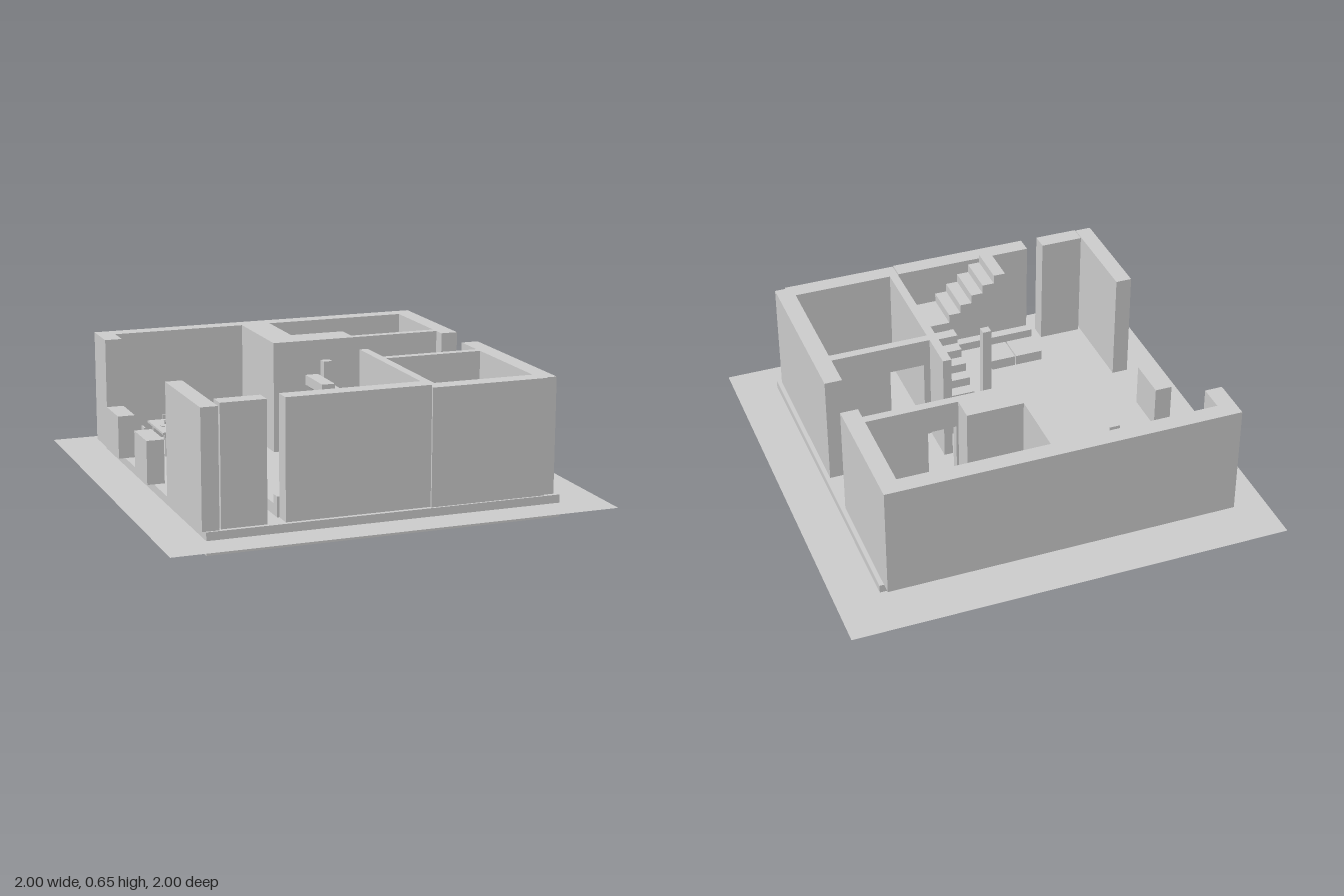
import * as THREE from 'three';

const grey = new THREE.MeshStandardMaterial({ color: 0xcccccc, flatShading: true, side: THREE.DoubleSide });

function add(parent, name, geometry) {
  const mesh = new THREE.Mesh(geometry, grey);
  mesh.name = name;
  parent.add(mesh);
  return mesh;
}

// Box given by its limits on each axis
function box(parent, name, x0, x1, y0, y1, z0, z1) {
  const mesh = add(parent, name, new THREE.BoxGeometry(x1 - x0, y1 - y0, z1 - z0));
  mesh.position.set((x0 + x1) / 2, (y0 + y1) / 2, (z0 + z1) / 2);
  return mesh;
}

const FLOOR = 0.1, TOP = 0.62;

const wall = (parent, name, x0, x1, z0, z1, top = TOP) => box(parent, name, x0, x1, FLOOR, top, z0, z1);

// Wall along x with a doorway
function doorWall(parent, name, x0, x1, z0, z1, d0, d1, head = 0.49) {
  const s = new THREE.Shape();
  [[x0, FLOOR], [d0, FLOOR], [d0, head], [d1, head], [d1, FLOOR], [x1, FLOOR], [x1, TOP], [x0, TOP]]
    .forEach(([x, y], i) => (i ? s.lineTo(x, y) : s.moveTo(x, y)));
  add(parent, name, new THREE.ExtrudeGeometry(s, { depth: z1 - z0, bevelEnabled: false })).position.z = z0;
}

// Stepped flight with a sloping underside, climbing along its local x
function flight(parent, name, steps, run, rise, width) {
  const s = new THREE.Shape();
  s.moveTo(0, 0);
  for (let i = 0; i < steps; i++) {
    s.lineTo(i * run, (i + 1) * rise);
    s.lineTo((i + 1) * run, (i + 1) * rise);
  }
  s.lineTo(steps * run, (steps - 1) * rise);
  s.lineTo(run, 0);
  return add(parent, name, new THREE.ExtrudeGeometry(s, { depth: width, bevelEnabled: false }));
}

// Small chair whose back stands at local +z
function chair(parent, x, z, turn) {
  const c = new THREE.Group();
  c.name = 'chair';
  box(c, 'chairSeat', -0.025, 0.025, 0.05, 0.06, -0.03, 0.025);
  box(c, 'chairBack', -0.025, 0.025, 0.06, 0.125, 0.017, 0.025);
  for (const sx of [-1, 1]) for (const sz of [-1, 1])
    box(c, 'chairLeg', sx * 0.02 - 0.004, sx * 0.02 + 0.004, 0, 0.05, sz * 0.02 - 0.004, sz * 0.02 + 0.004);
  c.position.set(x, FLOOR, z);
  c.rotation.y = turn;
  parent.add(c);
}

export function createModel() {
  const model = new THREE.Group();
  model.name = 'house';

  // Ground sheet and floor slab
  const ground = add(model, 'groundSheet', new THREE.PlaneGeometry(2, 2));
  ground.rotation.x = -Math.PI / 2;
  ground.position.y = 0.063;
  box(model, 'floorSlab', -0.8, 0.8, 0, FLOOR, -0.76, 0.84);

  // Outer walls
  const walls = new THREE.Group();
  walls.name = 'walls';
  model.add(walls);
  wall(walls, 'backWall', -0.83, 0.78, -0.81, -0.73);
  wall(walls, 'leftWallBack', 0.7, 0.78, -0.81, -0.21);
  wall(walls, 'leftWallFront', 0.7, 0.78, 0.02, 0.82);
  wall(walls, 'frontWall', -0.45, 0.2, 0.74, 0.82, 0.63);
  wall(walls, 'frontWallBedroom', 0.2, 0.73, 0.75, 0.83);
  wall(walls, 'entryWall', -0.73, -0.53, 0.74, 0.82, 0.63);
  wall(walls, 'rightWallFront', -0.815, -0.74, 0.33, 0.83);
  wall(walls, 'rightWallBack', -0.83, -0.75, -0.81, -0.61);
  for (const z of [-0.61, -0.13]) wall(walls, 'lowWall', -0.83, -0.75, z, z + 0.2, 0.3);

  // Inner walls
  wall(walls, 'thickInnerWall', -0.12, 0.02, -0.73, -0.27);
  wall(walls, 'innerWallReturn', 0.02, 0.28, -0.42, -0.27);
  doorWall(walls, 'backRoomWall', 0.28, 0.7, -0.31, -0.27, 0.29, 0.42);
  wall(walls, 'stairSideWall', 0.2, 0.24, 0, 0.8);
  doorWall(walls, 'frontRoomWall', 0.24, 0.7, 0.18, 0.22, 0.27, 0.43);

  // Staircase: lower flight, landing, upper flight and post
  const stairs = new THREE.Group();
  stairs.name = 'staircase';
  model.add(stairs);
  const rise = 0.0423;
  const lower = flight(stairs, 'lowerFlight', 7, 0.0575, rise, 0.2);
  lower.rotation.y = -Math.PI / 2;
  lower.position.set(0.2, FLOOR, 0.14);
  const landing = FLOOR + 8 * rise;
  box(stairs, 'landing', 0.02, 0.2, landing - rise, landing, 0.54, 0.74);
  const upper = flight(stairs, 'upperFlight', 5, 0.056, rise, 0.2);
  upper.rotation.y = Math.PI;
  upper.position.set(0.02, landing, 0.74);
  wall(stairs, 'stairPost', -0.045, -0.005, 0.15, 0.19);

  // Corner sofa
  const sofa = new THREE.Group();
  sofa.name = 'cornerSofa';
  model.add(sofa);
  box(sofa, 'longSeat', -0.18, -0.04, FLOOR, 0.15, 0.22, 0.74);
  box(sofa, 'longBack', -0.045, -0.01, FLOOR, 0.19, 0.19, 0.74);
  box(sofa, 'sofaArm', -0.18, -0.04, FLOOR, 0.17, 0.185, 0.22);
  for (const [a, b] of [[-0.46, -0.328], [-0.322, -0.18]])
    box(sofa, 'shortSeat', a, b, FLOOR, 0.15, 0.56, 0.7);
  box(sofa, 'shortBack', -0.46, -0.04, FLOOR, 0.19, 0.695, 0.74);

  // Dining table with place settings
  const table = new THREE.Group();
  table.name = 'diningTable';
  model.add(table);
  const tx = -0.51, tz = -0.478;
  box(table, 'tableTop', tx - 0.125, tx + 0.125, 0.21, 0.22, tz - 0.128, tz + 0.128);
  for (const sx of [-1, 1]) for (const sz of [-1, 1]) {
    const x = tx + sx * 0.1, z = tz + sz * 0.1;
    box(table, 'tableLeg', x - 0.008, x + 0.008, FLOOR, 0.21, z - 0.008, z + 0.008);
  }
  for (let i = 0; i < 4; i++) {
    const a = (i * Math.PI) / 2;
    const plate = add(table, 'plate', new THREE.CylinderGeometry(0.02, 0.012, 0.004, 12));
    plate.position.set(tx + Math.cos(a) * 0.085, 0.222, tz + Math.sin(a) * 0.085);
    const cup = add(table, 'cup', new THREE.CylinderGeometry(0.007, 0.005, 0.02, 8));
    cup.position.set(tx + Math.cos(a + 0.5) * 0.075, 0.23, tz + Math.sin(a + 0.5) * 0.075);
  }
  add(table, 'centrepiece', new THREE.CylinderGeometry(0.009, 0.006, 0.03, 8)).position.set(tx, 0.235, tz);

  // Chairs, the front one pulled out
  chair(model, -0.505, -0.245, 0);
  chair(model, -0.515, -0.655, Math.PI);
  chair(model, -0.358, -0.478, Math.PI / 2);
  chair(model, -0.67, -0.478, -Math.PI / 2);

  return model;
}
